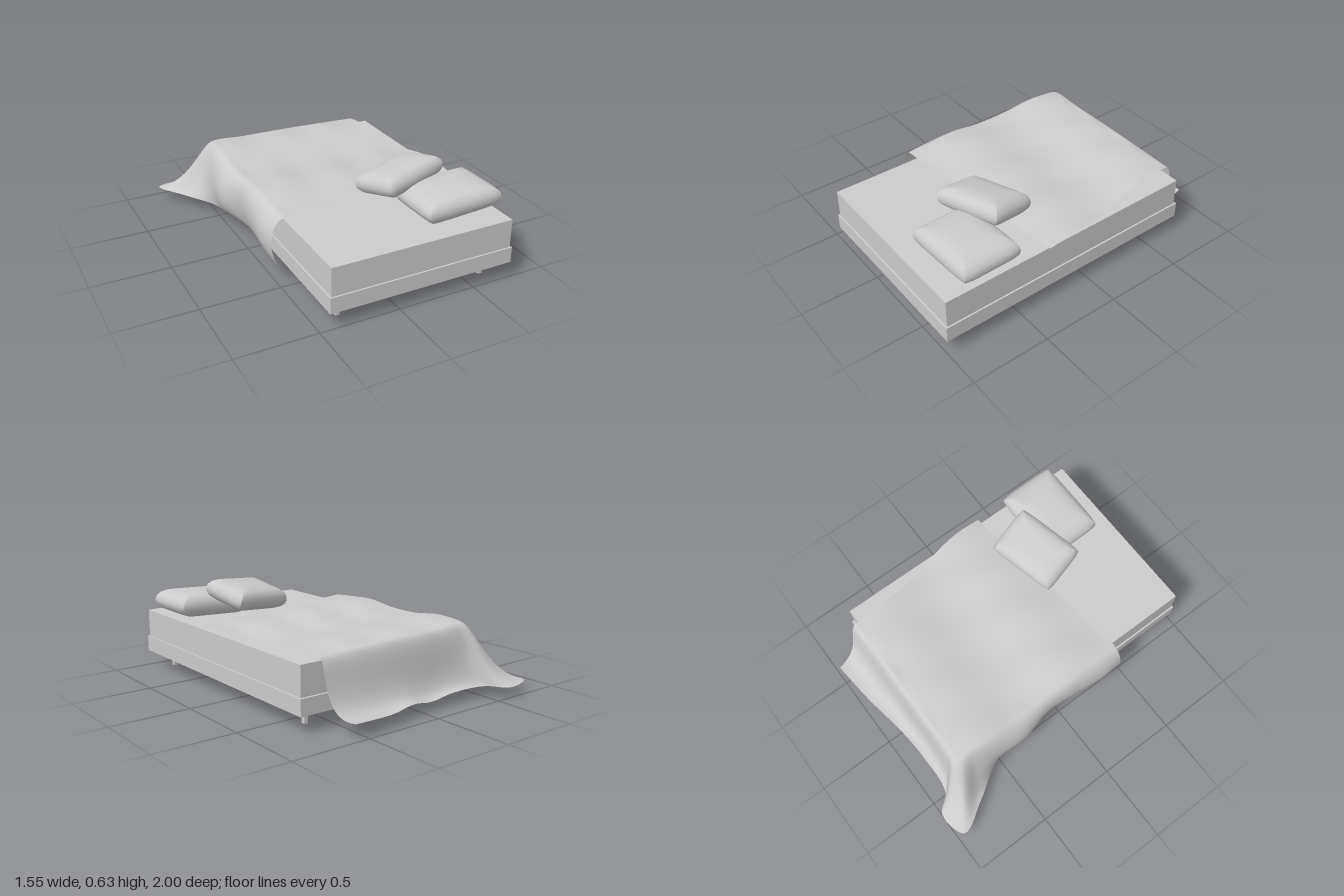
import * as THREE from 'three';
import { mergeVertices, toCreasedNormals } from 'three/addons/utils/BufferGeometryUtils.js';

const grey = new THREE.MeshStandardMaterial({ color: 0xcccccc });
const cloth = new THREE.MeshStandardMaterial({ color: 0xcccccc, side: THREE.DoubleSide });

function add(group, name, geometry, x = 0, y = 0, z = 0, material = grey) {
  const mesh = new THREE.Mesh(geometry, material);
  mesh.name = name;
  mesh.position.set(x, y, z);
  group.add(mesh);
  return mesh;
}

// Pillow: a stack of rectangles with rounded sides, mitred corners and a soft crown
function pillowGeometry(halfX, halfY, halfZ, roundX, roundZ) {
  let geo = new THREE.BoxGeometry(2, 2, 2, 12, 8, 12);
  geo.deleteAttribute('normal');
  geo.deleteAttribute('uv');
  geo = mergeVertices(geo);
  const p = geo.attributes.position;
  for (let i = 0; i < p.count; i++) {
    const u = p.getX(i), w = p.getZ(i), phi = p.getY(i) * Math.PI / 2;
    const inset = 1 - Math.cos(phi);
    const crown = 0.9 + 0.1 * (1 - u ** 4) * (1 - w ** 4);
    p.setXYZ(i,
      u * (halfX - roundX * inset) * (1 - 0.04 * w ** 6),
      halfY * Math.sin(phi) * crown,
      w * (halfZ - roundZ * inset) * (1 - 0.04 * u ** 6));
  }
  return toCreasedNormals(geo, 0.7);
}

// Height of the blanket where it lies on the mattress, with soft ridges across the bed
function blanketHeight(x, z) {
  const slope = 0.438 - 0.022 * (x + 0.44);
  const ridges = 0.014 * Math.cos((z + 0.58) * 9);
  return slope + ridges + 0.006 * Math.sin(x * 17 + z * 3) * Math.cos(z * 4);
}

// Stations along the draped edge, from front left round the corner to back right:
// rim x, z | hem x, y, z | belly x, y, z
const drape = [
  [-0.44, 0.45, -0.48, 0.09, 0.47, -0.58, 0.24, 0.45],
  [-0.44, 0.30, -0.48, 0.11, 0.30, -0.60, 0.24, 0.30],
  [-0.44, 0.10, -0.47, 0.12, 0.10, -0.56, 0.24, 0.10],
  [-0.44, -0.10, -0.47, 0.12, -0.10, -0.53, 0.24, -0.10],
  [-0.44, -0.32, -0.50, 0.10, -0.32, -0.61, 0.22, -0.32],
  [-0.44, -0.52, -0.53, 0.08, -0.52, -0.56, 0.20, -0.53],
  [-0.44, -0.64, -0.67, 0.08, -0.75, -0.53, 0.12, -0.68],
  [-0.44, -0.71, -0.775, 0.075, -0.955, -0.58, 0.12, -0.82],
  [-0.42, -0.74, -0.60, 0.065, -1.00, -0.52, 0.12, -0.86],
  [-0.37, -0.74, -0.49, 0.07, -0.90, -0.40, 0.10, -0.79],
  [-0.22, -0.74, -0.24, 0.075, -0.885, -0.22, 0.06, -0.757],
  [-0.05, -0.74, -0.05, 0.06, -0.895, -0.05, 0.06, -0.757],
  [0.12, -0.74, 0.11, 0.085, -0.92, 0.12, 0.06, -0.757],
  [0.32, -0.74, 0.30, 0.075, -0.95, 0.32, 0.06, -0.757],
  [0.64, -0.74, 0.58, 0.09, -0.98, 0.64, 0.06, -0.757],
];

function blanketGeometry() {
  const rim = [], shoulder = [], belly = [], hem = [];
  for (const [rx, rz, hx, hy, hz, bx, by, bz] of drape) {
    const r = new THREE.Vector3(rx, blanketHeight(rx, rz), rz);
    const out = new THREE.Vector3(bx - rx, 0, bz - rz).setLength(0.09);
    rim.push(r);
    shoulder.push(r.clone().add(out));
    belly.push(new THREE.Vector3(bx, by, bz));
    hem.push(new THREE.Vector3(hx, hy, hz));
  }
  const curves = [rim, shoulder, belly, hem].map(c => new THREE.CatmullRomCurve3(c));
  const apex = new THREE.Vector3(0.77, 0, 0.30); // front corner opposite the drape
  const along = 112, flat = 36, hang = 18, row = flat + hang + 1;
  const pos = [], index = [];
  for (let i = 0; i <= along; i++) {
    const c = curves.map(k => k.getPoint(i / along));
    const sway = 0.02 * (i / along) ** 8; // the free side edge waves a little
    for (let j = 0; j < flat; j++) {
      const f = j / flat;
      const v = apex.clone().lerp(c[0], f);
      v.x += sway * Math.sin(2 * Math.PI * f);
      // ease into the rim, so the top meets the hanging part smoothly
      v.y = Math.max(0.386, blanketHeight(v.x, v.z) - 0.014 * (1 - f));
      pos.push(v.x, v.y, v.z);
    }
    const section = new THREE.CubicBezierCurve3(...c);
    for (let j = 0; j <= hang; j++) {
      const v = section.getPoint(j / hang);
      pos.push(v.x, v.y, v.z);
    }
  }
  for (let i = 0; i < along; i++) {
    for (let j = 0; j < row - 1; j++) {
      const a = i * row + j, b = a + row;
      if (j > 0) index.push(a, b, a + 1);
      index.push(b, b + 1, a + 1);
    }
  }
  const geo = new THREE.BufferGeometry();
  geo.setAttribute('position', new THREE.Float32BufferAttribute(pos, 3));
  geo.setIndex(index);
  const merged = mergeVertices(geo);
  merged.computeVertexNormals();
  return merged;
}

export function createModel() {
  const bed = new THREE.Group();
  bed.name = 'bed';

  // Base and mattress
  add(bed, 'bedBase', new THREE.BoxGeometry(1.195, 0.1, 1.745), 0.16, 0.15, 0.1275);
  add(bed, 'mattress', new THREE.BoxGeometry(1.175, 0.18, 1.72), 0.16, 0.29, 0.13);

  // Legs
  for (const x of [-0.3375, 0.625]) {
    for (const z of [-0.6, 0.882]) {
      add(bed, 'leg', new THREE.BoxGeometry(0.025, 0.1, 0.025), x, 0.05, z);
    }
  }

  // Blanket thrown over the back of the bed
  add(bed, 'blanket', blanketGeometry(), 0, 0, 0, cloth);

  // Pillows, the upper one leaning on the lower
  const lower = add(bed, 'lowerPillow', pillowGeometry(0.26, 0.08, 0.195, 0.11, 0.07), 0.503, 0.461, 0.685);
  lower.rotation.set(0, 0.015, 0.05);
  const upper = add(bed, 'upperPillow', pillowGeometry(0.23, 0.075, 0.163, 0.08, 0.065), 0.322, 0.525, 0.43);
  upper.rotation.set(-0.23, 0.24, 0.11, 'YXZ');

  return bed;
}
